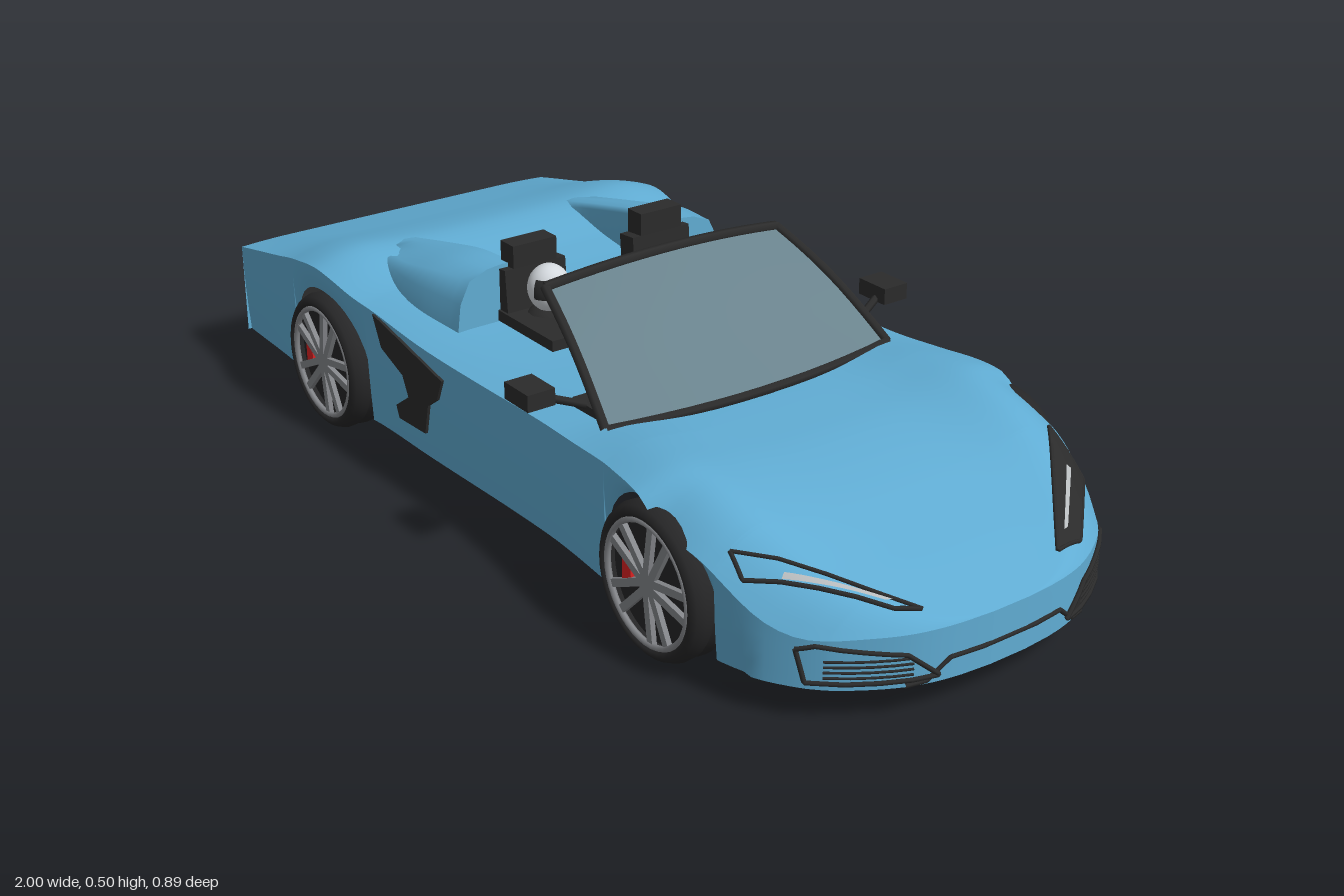
import * as THREE from 'three';

const mat = (name, color) => Object.assign(new THREE.MeshStandardMaterial({ color, side: THREE.DoubleSide }), { name });
const M = {
  blue: mat('body blue', 0x60acd3), black: mat('trim black', 0x2b2b2b), tyre: mat('tyre rubber', 0x262627),
  glass: mat('glass', 0x69828c), rim: mat('rim grey', 0x85878b), red: mat('signal red', 0xdc2222),
  white: mat('helmet white', 0xd4d9de), lamp: mat('lamp grey', 0xb8bcbe),
};
const V = (x, y, z) => new THREE.Vector3(x, y, z);
const mesh = (name, geo, m, parent, x = 0, y = 0, z = 0) => {
  const o = new THREE.Mesh(geo, m);
  o.name = name;
  o.position.set(x, y, z);
  parent.add(o);
  return o;
};

// Smooth interpolation through [x, value] pairs
const profile = (pts) => (x) => {
  const n = pts.length - 1;
  if (x <= pts[0][0]) return pts[0][1];
  if (x >= pts[n][0]) return pts[n][1];
  let i = 0;
  while (x > pts[i + 1][0]) i++;
  const slope = (a, b) => (pts[b][1] - pts[a][1]) / (pts[b][0] - pts[a][0]);
  const h = pts[i + 1][0] - pts[i][0], t = (x - pts[i][0]) / h;
  const m0 = slope(Math.max(i - 1, 0), i + 1) * h, m1 = slope(i, Math.min(i + 2, n)) * h;
  const t2 = t * t, t3 = t2 * t;
  return (2 * t3 - 3 * t2 + 1) * pts[i][1] + (t3 - 2 * t2 + t) * m0 + (3 * t2 - 2 * t3) * pts[i + 1][1] + (t3 - t2) * m1;
};

// Surface from rows of points given by index
function grid(nu, nv, fn) {
  const pos = [], idx = [];
  for (let i = 0; i <= nu; i++) for (let j = 0; j <= nv; j++) pos.push(...fn(i, j));
  for (let i = 0; i < nu; i++) for (let j = 0; j < nv; j++) {
    const a = i * (nv + 1) + j, b = a + nv + 1;
    idx.push(a, a + 1, b, b, a + 1, b + 1);
  }
  const g = new THREE.BufferGeometry();
  g.setAttribute('position', new THREE.Float32BufferAttribute(pos, 3));
  g.setIndex(idx);
  g.computeVertexNormals();
  return g;
}
const tube = (pts, r, closed = false) => {
  const path = new THREE.CurvePath();
  const all = closed ? [...pts, pts[0]] : pts;
  for (let i = 0; i + 1 < all.length; i++) path.add(new THREE.LineCurve3(all[i], all[i + 1]));
  return new THREE.TubeGeometry(path, all.length * 12, r, 6);
};

// Body lines: half width, deck height, fender swell and shoulder drop along x
const halfWidth = profile([[-0.98, 0.393], [-0.74, 0.402], [-0.65, 0.417], [-0.56, 0.424], [-0.47, 0.417], [-0.38, 0.404], [-0.2, 0.4], [0.2, 0.388],
  [0.4, 0.4], [0.48, 0.412], [0.57, 0.42], [0.7, 0.407], [0.8, 0.381], [0.86, 0.346], [0.9, 0.311], [0.94, 0.255], [0.97, 0.198], [0.985, 0.153], [0.995, 0.1], [1, 0.04]]);
const deck = profile([[-0.98, 0.265], [-0.8, 0.31], [-0.64, 0.352], [-0.55, 0.362], [-0.4, 0.335], [-0.2, 0.314], [0, 0.305],
  [0.3, 0.302], [0.45, 0.3], [0.57, 0.294], [0.7, 0.27], [0.85, 0.222], [0.95, 0.185], [1, 0.165]]);
const swell = profile([[-0.98, 0], [-0.75, 0.005], [-0.57, 0.012], [-0.4, 0.002], [0.25, 0.002], [0.45, 0.027], [0.57, 0.036], [0.7, 0.028], [0.85, 0.006], [1, 0]]);
const drop = profile([[-0.98, 0.004], [-0.57, 0.02], [0, 0.01], [0.4, 0.01], [0.54, 0.016], [0.59, 0.044], [0.64, 0.047], [0.7, 0.046], [0.85, 0.065], [0.95, 0.025], [1, 0]]);
const topY = (x, z) => {
  const t = Math.min(Math.abs(z) / halfWidth(x), 1), s = Math.max(0, (t - 0.7) / 0.3);
  return deck(x) + swell(x) * Math.exp(-(((t - 0.8) / 0.27) ** 2)) - drop(x) * s * s;
};
const noseX = (z) => {
  let a = 0.6, b = 1;
  for (let i = 0; i < 30; i++) { const m = (a + b) / 2; if (halfWidth(m) > Math.abs(z)) a = m; else b = m; }
  return a;
};
const WHEELS = [[-0.56, 0.388], [0.57, 0.385]], AXLE = 0.145, ARCH = 0.156, SILL = 0.065;
const sillY = (x) => {
  for (const [wx] of WHEELS) if (Math.abs(x - wx) <= ARCH) return AXLE + Math.sqrt(ARCH ** 2 - (x - wx) ** 2);
  return SILL;
};

function addBody(car) {
  const xs = [];
  for (let x = -0.98; x < 0.9; x += 0.02) xs.push(x);
  for (let x = 0.9; x < 1.0001; x += 0.005) xs.push(Math.min(x, 1));
  for (const [wx] of WHEELS) for (const s of [-1, 1]) for (const d of [0.0001, -0.0001, -0.002, -0.006]) xs.push(wx + s * (ARCH + d));
  xs.sort((a, b) => a - b);
  const n = xs.length - 1;
  mesh('upperBody', grid(n, 40, (i, j) => {
    const x = xs[i], z = halfWidth(x) * (j / 20 - 1);
    return [x, topY(x, z), z];
  }), M.blue, car);
  for (const s of [-1, 1]) mesh('sidePanel', grid(n, 4, (i, j) => {
    const x = xs[i], w = halfWidth(x), e = topY(x, w), b = Math.min(sillY(x), e - 0.004), v = j / 4;
    return [x, e + (b - e) * v, s * (w - (x < 0.8 ? 0.008 * v * v : 0))];
  }), M.blue, car);
  for (const x of [-0.98, 1]) mesh('endPanel', grid(20, 1, (i, j) => {
    const z = halfWidth(x) * (i / 10 - 1);
    return [x, j ? SILL : topY(x, z), z];
  }), M.blue, car);

  // Fairings behind the seats
  const outer = profile([[-0.57, 0.26], [-0.48, 0.312], [-0.35, 0.335], [-0.19, 0.32]]);
  const crown = profile([[-0.57, 0.366], [-0.42, 0.4], [-0.3, 0.424], [-0.19, 0.431]]);
  const section = (x, s) => {
    const o = outer(x), c = crown(x), d = deck(x) - 0.01;
    return [[0.178, d], [0.18, c - 0.012], [0.19, c - 0.002], [0.215, c], [0.25, c - 0.004], [o - 0.03, c - 0.02], [o - 0.008, (c + d) / 2], [o, d]]
      .map(([z, y]) => [x, y, s * z]);
  };
  for (const s of [-1, 1]) {
    mesh('rearFairing', grid(14, 7, (i, j) => section(-0.57 + (0.38 * i) / 14, s)[j]), M.blue, car);
    mesh('fairingFront', grid(1, 7, (i, j) => {
      const p = section(-0.19, s)[j];
      return i ? p : [p[0], 0.3, p[2]];
    }), M.blue, car);
  }

  // Tail light and rear bumper
  mesh('tailLight', new THREE.BoxGeometry(0.018, 0.015, 0.68), M.red, car, -0.986, 0.223, 0);
  mesh('rearBumper', new THREE.BoxGeometry(0.014, 0.07, 0.69), M.black, car, -0.985, 0.108, 0);

  // Side intake on the one flank
  const vent = [[-0.37, 0.312], [-0.28, 0.295], [-0.11, 0.262], [-0.13, 0.215], [-0.165, 0.19], [-0.18, 0.125], [-0.28, 0.12],
    [-0.29, 0.145], [-0.24, 0.18], [-0.26, 0.22], [-0.34, 0.25]].map(([x, y]) => new THREE.Vector2(x, y));
  mesh('sideIntake', new THREE.ExtrudeGeometry(new THREE.Shape(vent), { depth: 0.006, bevelEnabled: false }), M.black, car, 0, 0, 0.402);
}

function addNose(car) {
  const onHood = (x, z, lift = 0.004) => V(x, topY(x, z) + lift, z);
  const onFront = (z, y, lift = 0.004) => V(noseX(z) + lift, y, z * 1.003);
  const patch = (c, place) => grid(12, 6, (i, j) => {
    const u = i / 12, v = j / 6;
    const mix = (k) => (1 - v) * ((1 - u) * c[0][k] + u * c[1][k]) + v * ((1 - u) * c[3][k] + u * c[2][k]);
    return place(mix(0), mix(1)).toArray();
  });
  const outline = (c, place) => c.flatMap((p, i) => {
    const q = c[(i + 1) % c.length];
    return [0, 0.25, 0.5, 0.75].map((t) => place(p[0] + (q[0] - p[0]) * t, p[1] + (q[1] - p[1]) * t));
  });
  for (const s of [-1, 1]) {
    // Headlight: wide dark lens on one side, slim body-coloured one on the other
    const shape = s < 0 ? [[0.715, 0.368], [0.95, 0.155], [0.942, 0.218], [0.8, 0.374]] : [[0.725, 0.37], [0.955, 0.155], [0.935, 0.2], [0.765, 0.375]];
    const lamp = shape.map(([x, z]) => [x, s * z]);
    mesh('headlightFrame', tube(outline(lamp, onHood), 0.004, true), M.black, car);
    if (s < 0) mesh('headlightLens', patch(lamp, (x, z) => onHood(x, z, 0.007)), M.black, car);
    const strip = [[0.805, 0.322], [0.925, 0.195], [0.922, 0.207], [0.809, 0.33]].map(([x, z]) => [x, s * z]);
    mesh('runningLight', patch(strip, (x, z) => onHood(x, z, 0.01)), M.lamp, car);

    // Lower grille
    const grille = [[0.345, 0.138], [0.325, 0.148], [0.2, 0.127], [0.145, 0.08], [0.335, 0.078]].map(([z, y]) => [s * z, y]);
    mesh('grilleFrame', tube(outline(grille, onFront), 0.0045, true), M.black, car);
    if (s < 0) mesh('grilleFill', patch([grille[0], grille[2], grille[3], grille[4]], onFront), M.black, car);
    for (let k = 0; k < 4; k++) {
      const y = 0.09 + k * 0.01;
      mesh('grilleSlat', tube([0.19, 0.22, 0.25, 0.28, 0.315].map((z) => onFront(s * z, y)), 0.0025), M.black, car);
    }
  }
  const lip = [[0.2, 0.068], [0.165, 0.072], [0.125, 0.106], [0.06, 0.106]];
  const lipPts = [...lip, ...lip.map(([z, y]) => [-z, y]).reverse()];
  mesh('frontLip', tube(lipPts.map(([z, y]) => onFront(z, y, 0.001)), 0.0045), M.black, car);
}

function addWindshield(car) {
  const at = (t, s) => V(
    (0.355 - 0.035 * t * t) * (1 - s) + (0.06 - 0.012 * t * t) * s,
    0.306 * (1 - s) + (0.493 - 0.02 * t * t) * s + 0.015 * Math.sin(Math.PI * s),
    t * (0.33 * (1 - s) + 0.272 * s));
  mesh('windshieldGlass', grid(24, 10, (i, j) => at(i / 12 - 1, j / 10).toArray()), M.glass, car);
  const ts = [...Array(13).keys()].map((i) => i / 6 - 1), ss = ts.map((t) => (t + 1) / 2);
  mesh('windshieldHeader', tube(ts.map((t) => at(t, 1)), 0.011), M.black, car);
  mesh('windshieldBase', tube(ts.map((t) => at(t, 0)), 0.01), M.black, car);
  for (const s of [-1, 1]) {
    mesh('windshieldPillar', tube(ss.map((v) => at(s, v)), 0.01), M.black, car);
    mesh('mirrorArm', tube([V(0.245, 0.325, s * 0.32), V(0.215, 0.352, s * 0.4)], 0.008), M.black, car);
    mesh('mirror', new THREE.BoxGeometry(0.075, 0.033, 0.058), M.black, car, 0.21, 0.36, s * 0.415);
  }
}

function addCockpit(car) {
  for (const s of [-1, 1]) {
    mesh('seatCushion', new THREE.BoxGeometry(0.21, 0.022, 0.15), M.black, car, -0.105, 0.326, s * 0.152);
    mesh('seatBack', new THREE.BoxGeometry(0.045, 0.1, 0.14), M.black, car, -0.188, 0.372, s * 0.152).rotation.z = 0.08;
    mesh('headrest', new THREE.BoxGeometry(0.045, 0.055, 0.1), M.black, car, -0.192, 0.442, s * 0.152);
  }
  mesh('console', new THREE.BoxGeometry(0.22, 0.05, 0.06), M.black, car, -0.05, 0.31, 0);
  mesh('dashboard', new THREE.BoxGeometry(0.09, 0.035, 0.27), M.black, car, 0.24, 0.302, 0.18);
  const hoop = mesh('seatHoop', new THREE.TorusGeometry(0.075, 0.011, 8, 24, Math.PI), M.black, car, -0.215, 0.34, 0.15);
  hoop.rotation.set(-Math.PI / 2, 0, Math.PI / 2);

  // Steering wheel and column
  const wheel = mesh('steeringWheel', new THREE.TorusGeometry(0.045, 0.006, 8, 24), M.black, car, 0.13, 0.365, 0.155);
  wheel.rotation.set(0, Math.PI / 2, 0.3, 'ZYX');
  mesh('steeringColumn', tube([V(0.13, 0.365, 0.155), V(0.2, 0.31, 0.155)], 0.006), M.black, car);

  // Driver
  const helmet = mesh('helmet', new THREE.SphereGeometry(0.043, 24, 16), M.white, car, -0.125, 0.388, 0.15);
  helmet.scale.y = 1.12;
  const visor = mesh('visor', new THREE.SphereGeometry(0.045, 16, 8, Math.PI - 1.3, 2.6, 1.0, 0.8), M.black, car, -0.125, 0.388, 0.15);
  visor.scale.y = 1.12;
  const limb = (name, a, b, r) => {
    const d = b.clone().sub(a), o = mesh(name, new THREE.CapsuleGeometry(r, d.length(), 4, 10), M.black, car);
    o.position.copy(a).addScaledVector(d, 0.5);
    o.quaternion.setFromUnitVectors(V(0, 1, 0), d.normalize());
  };
  limb('torso', V(-0.13, 0.3, 0.15), V(-0.11, 0.2, 0.15), 0.055);
  for (const s of [-1, 1]) {
    const z = 0.15 + s * 0.045;
    limb('thigh', V(-0.1, 0.18, z), V(0.05, 0.2, z), 0.036);
    limb('shin', V(0.05, 0.2, z), V(0.14, 0.098, z), 0.026);
    limb('foot', V(0.13, 0.085, z), V(0.17, 0.1, z), 0.018);
  }
}

function makeWheel() {
  const w = new THREE.Group();
  // Round-shouldered tyre with a centre groove
  const half = [[0.116, 0.034], [0.121, 0.044], [0.129, 0.045], [0.138, 0.037], [0.144, 0.022], [0.143, 0.008], [0.138, 0]];
  const tread = [...half, ...half.slice(0, -1).reverse().map(([r, y]) => [r, -y])];
  mesh('tyre', new THREE.LatheGeometry(tread.map(([r, y]) => new THREE.Vector2(r, y)), 40), M.tyre, w).rotation.x = Math.PI / 2;
  mesh('rimBarrel', new THREE.CylinderGeometry(0.117, 0.117, 0.045, 36), M.tyre, w, 0, 0, -0.002).rotation.x = Math.PI / 2;
  mesh('rimRing', new THREE.TorusGeometry(0.114, 0.006, 6, 40), M.rim, w, 0, 0, 0.038);
  mesh('hub', new THREE.CylinderGeometry(0.022, 0.022, 0.012, 16), M.rim, w, 0, 0, 0.034).rotation.x = Math.PI / 2;
  mesh('brakeCaliper', new THREE.BoxGeometry(0.026, 0.052, 0.018), M.red, w, -0.06, 0, 0.028);
  // Paired spokes
  for (let i = 0; i < 5; i++) for (const s of [-1, 1]) {
    const a = (i * Math.PI * 2) / 5;
    const p = V(Math.cos(a), Math.sin(a), 0), q = V(-p.y, p.x, 0);
    const from = p.clone().multiplyScalar(0.014).addScaledVector(q, s * 0.007);
    const to = p.clone().multiplyScalar(0.11).addScaledVector(q, s * 0.024), d = to.clone().sub(from);
    const o = mesh('spoke', new THREE.BoxGeometry(d.length(), 0.015, 0.01), M.rim, w);
    o.position.copy(from).addScaledVector(d, 0.5).setZ(0.035);
    o.rotation.z = Math.atan2(d.y, d.x);
  }
  return w;
}

export function createModel() {
  const car = new THREE.Group();
  car.name = 'roadster';
  addBody(car);
  addNose(car);
  addWindshield(car);
  addCockpit(car);
  for (const [x, z] of WHEELS) for (const s of [-1, 1]) {
    const w = makeWheel();
    w.name = x > 0 ? 'frontWheel' : 'rearWheel';
    w.position.set(x, AXLE, s * z);
    w.scale.z = s;
    car.add(w);
  }
  return car;
}
